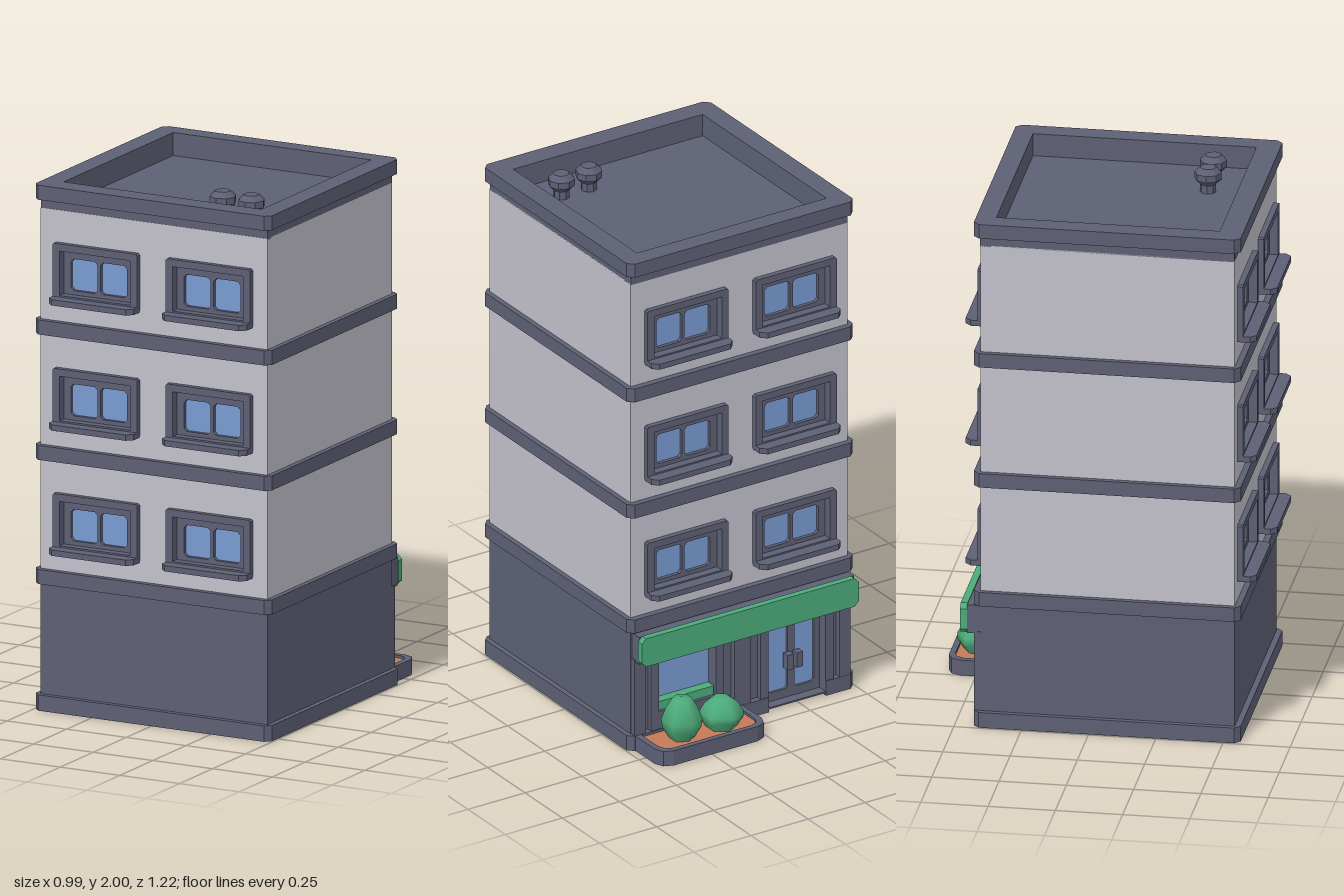
import * as THREE from 'three';

const mat = (name, color) => {
  const m = new THREE.MeshStandardMaterial({ color });
  m.name = name;
  return m;
};

export function createModel() {
  const wall = mat('lightWall', 0xc2c1cb);
  const trim = mat('slateTrim', 0x5d6075);
  const glass = mat('blueGlass', 0x789ad0);
  const green = mat('leafGreen', 0x4cab7a);
  const soil = mat('claySoil', 0xc47a58);

  const W = 0.95, D = 0.945, ZC = 0.0665;   // wall footprint and its centre in z
  const root = new THREE.Group();
  root.name = 'apartmentBuilding';

  const add = (parent, name, geo, m) => {
    const mesh = new THREE.Mesh(geo, m);
    mesh.name = name;
    parent.add(mesh);
    return mesh;
  };
  const box = (parent, name, m, x0, x1, y0, y1, z0, z1) =>
    add(parent, name, new THREE.BoxGeometry(x1 - x0, y1 - y0, z1 - z0)
      .translate((x0 + x1) / 2, (y0 + y1) / 2, (z0 + z1) / 2), m);

  // Rectangle with cut corners, with optional holes
  const corners = (cx, cy, w, h, c = 0) => {
    const a = w / 2, b = h / 2;
    const p = c ? [[-a + c, -b], [a - c, -b], [a, -b + c], [a, b - c], [a - c, b], [-a + c, b], [-a, b - c], [-a, -b + c]]
      : [[-a, -b], [a, -b], [a, b], [-a, b]];
    return p.map(([x, y]) => new THREE.Vector2(cx + x, cy + y));
  };
  const shape = (outer, holes = []) => {
    const s = new THREE.Shape(outer);
    holes.forEach(h => s.holes.push(new THREE.Path(h)));
    return s;
  };
  // Upright plate between two z values
  const plate = (parent, name, m, s, z0, z1) =>
    add(parent, name, new THREE.ExtrudeGeometry(s, { depth: z1 - z0, bevelEnabled: false }).translate(0, 0, z0), m);
  // Flat slab between two heights; shape y becomes -z
  const slab = (parent, name, m, s, y0, y1) =>
    add(parent, name, new THREE.ExtrudeGeometry(s, { depth: y1 - y0, bevelEnabled: false })
      .rotateX(-Math.PI / 2).translate(0, y0, 0), m);

  // Body cores
  box(root, 'groundFloor', trim, -W / 2, W / 2, 0.01, 0.5, -0.365, 0.54);
  box(root, 'upperFloors', wall, -W / 2, W / 2, 0.5, 1.9, -0.365, 0.5);

  // Floor bands
  const bandOuter = () => corners(0, -ZC, 0.99, 0.992, 0.022);
  [[0.48, 0.535], [0.95, 1.005], [1.425, 1.48]].forEach(([a, b]) =>
    slab(root, 'floorBand', trim, shape(bandOuter()), a, b));

  // Base band with a notch for the doorway
  const base = [[-0.473, 0.43], [-0.495, 0.408], [-0.495, -0.54], [-0.473, -0.562], [0.473, -0.562], [0.495, -0.54],
    [0.495, 0.408], [0.473, 0.43], [-0.115, 0.43], [-0.115, 0.366], [-0.365, 0.366], [-0.365, 0.43]]
    .map(([x, y]) => new THREE.Vector2(x, y));
  slab(root, 'baseBand', trim, shape(base), 0, 0.06);

  // Parapet and roof
  const roofHole = corners(0, -0.06, 0.83, 0.83);
  slab(root, 'parapetWall', trim, shape(corners(0, -ZC, W, D), [roofHole]), 1.895, 1.94);
  slab(root, 'parapetCap', trim, shape(bandOuter(), [roofHole]), 1.935, 1.99);
  box(root, 'roofDeck', trim, -0.42, 0.42, 1.895, 1.903, -0.36, 0.48);

  // Roof vents
  [0.175, 0.295].forEach(x => {
    const p = [[0.03, 0], [0.03, 0.035], [0.05, 0.055], [0.05, 0.08], [0.03, 0.1], [0, 0.1]];
    const g = new THREE.LatheGeometry(p.map(q => new THREE.Vector2(...q)), 8).toNonIndexed();
    g.computeVertexNormals();
    add(root, 'roofVent', g, trim).position.set(x, 1.9, 0.335);
  });

  // One framed window, wall plane at z = 0, lower edge at y
  const makeWindow = (x, y) => {
    const g = new THREE.Group();
    g.name = 'window';
    plate(g, 'windowFrame', trim, shape(corners(0, 0.112, 0.355, 0.223, 0.006), [corners(0, 0.112, 0.295, 0.168)]), -0.04, 0.021);
    const panes = [-0.062, 0.062].map(px => corners(px, 0.104, 0.112, 0.12, 0.012));
    plate(g, 'windowSash', trim, shape(corners(0, 0.112, 0.3, 0.175), panes), -0.04, -0.012);
    box(g, 'windowGlass', glass, -0.13, 0.13, 0.03, 0.185, -0.034, -0.026);
    slab(g, 'windowSill', trim, shape(corners(0, -0.024, 0.355, 0.088, 0.022)), 0, 0.022);
    g.position.set(x, y, 0);
    return g;
  };

  // Wall facing with three rows of windows
  const makeFacade = name => {
    const g = new THREE.Group();
    g.name = name;
    const holes = [];
    [0.607, 1.081, 1.555].forEach(y => [-0.237, 0.237].forEach(x => {
      holes.push(corners(x, y + 0.112, 0.31, 0.185));
      g.add(makeWindow(x, y));
    }));
    plate(g, 'facadeWall', wall, shape(corners(0, 1.2, W, 1.4), holes), -0.04, 0);
    root.add(g);
    return g;
  };
  makeFacade('frontFacade').position.z = 0.54;
  const back = makeFacade('backFacade');
  back.rotation.y = Math.PI;
  back.position.z = -0.405;

  // Shopfront on the back, in the back facade's own frame
  const shop = new THREE.Group();
  shop.name = 'shopfront';
  back.add(shop);
  plate(shop, 'shopWall', trim, shape(corners(0, 0.25, W, 0.5),
    [corners(-0.24, 0.235, 0.25, 0.22), corners(0.24, 0.182, 0.25, 0.355)]), -0.04, 0);
  plate(shop, 'shopWindowFrame', trim, shape(corners(-0.24, 0.215, 0.32, 0.31),
    [corners(-0.24, 0.235, 0.25, 0.21)]), -0.04, 0.022);
  box(shop, 'shopWindowGlass', glass, -0.37, -0.11, 0.12, 0.35, -0.036, -0.028);
  box(shop, 'windowHedge', green, -0.362, -0.118, 0.13, 0.165, -0.028, 0.01);
  plate(shop, 'doorFrame', trim, shape(corners(0.24, 0.19, 0.32, 0.36),
    [corners(0.24, 0.181, 0.25, 0.33)]), -0.04, 0.022);
  const doorPanes = [0.182, 0.298].map(x => corners(x, 0.185, 0.085, 0.27, 0.01));
  plate(shop, 'doorLeaves', trim, shape(corners(0.24, 0.185, 0.26, 0.35), doorPanes), -0.04, -0.02);
  box(shop, 'doorGlass', glass, 0.13, 0.35, 0.04, 0.335, -0.038, -0.03);
  [0.22, 0.26].forEach(x => box(shop, 'doorHandle', trim, x - 0.014, x + 0.014, 0.14, 0.2, -0.02, 0.01));
  [[-0.473, -0.425], [-0.035, 0.035], [0.425, 0.473]].forEach(([a, b]) =>
    box(shop, 'pilaster', trim, a, b, 0.02, 0.37, -0.01, 0.024));
  box(shop, 'signBacking', trim, -0.47, 0.47, 0.362, 0.473, -0.01, 0.05);
  plate(shop, 'signBoard', green, shape(corners(0, 0.418, 0.95, 0.115, 0.018)), 0.05, 0.076);

  // Planter: rounded at its outer corners only
  const tray = (x0, x1, z0, z1, c) => [[x0, z0], [x1, z0], [x1, z1 - c], [x1 - c * 0.3, z1 - c * 0.3], [x1 - c, z1],
    [x0 + c, z1], [x0 + c * 0.3, z1 - c * 0.3], [x0, z1 - c]].map(([x, y]) => new THREE.Vector2(x, y));
  slab(root, 'planterRim', trim, shape(tray(0, 0.47, 0.42, 0.608, 0.05), [tray(0.024, 0.446, 0.432, 0.586, 0.04)]), 0, 0.06);
  slab(root, 'planterSoil', soil, shape(tray(0.02, 0.45, 0.425, 0.59, 0.04)), 0.002, 0.05);

  // Six-sided bushes
  const bush = (x, pts) => {
    const g = new THREE.LatheGeometry(pts.map(p => new THREE.Vector2(...p)), 6);
    add(root, 'bush', g, green).position.set(x, 0, -0.51);
  };
  bush(0.32, [[0.045, 0.045], [0.072, 0.09], [0.076, 0.125], [0.06, 0.17], [0.035, 0.21], [0, 0.212]]);
  bush(0.147, [[0.055, 0.045], [0.082, 0.085], [0.082, 0.11], [0.062, 0.145], [0.035, 0.165], [0, 0.168]]);

  return root;
}
